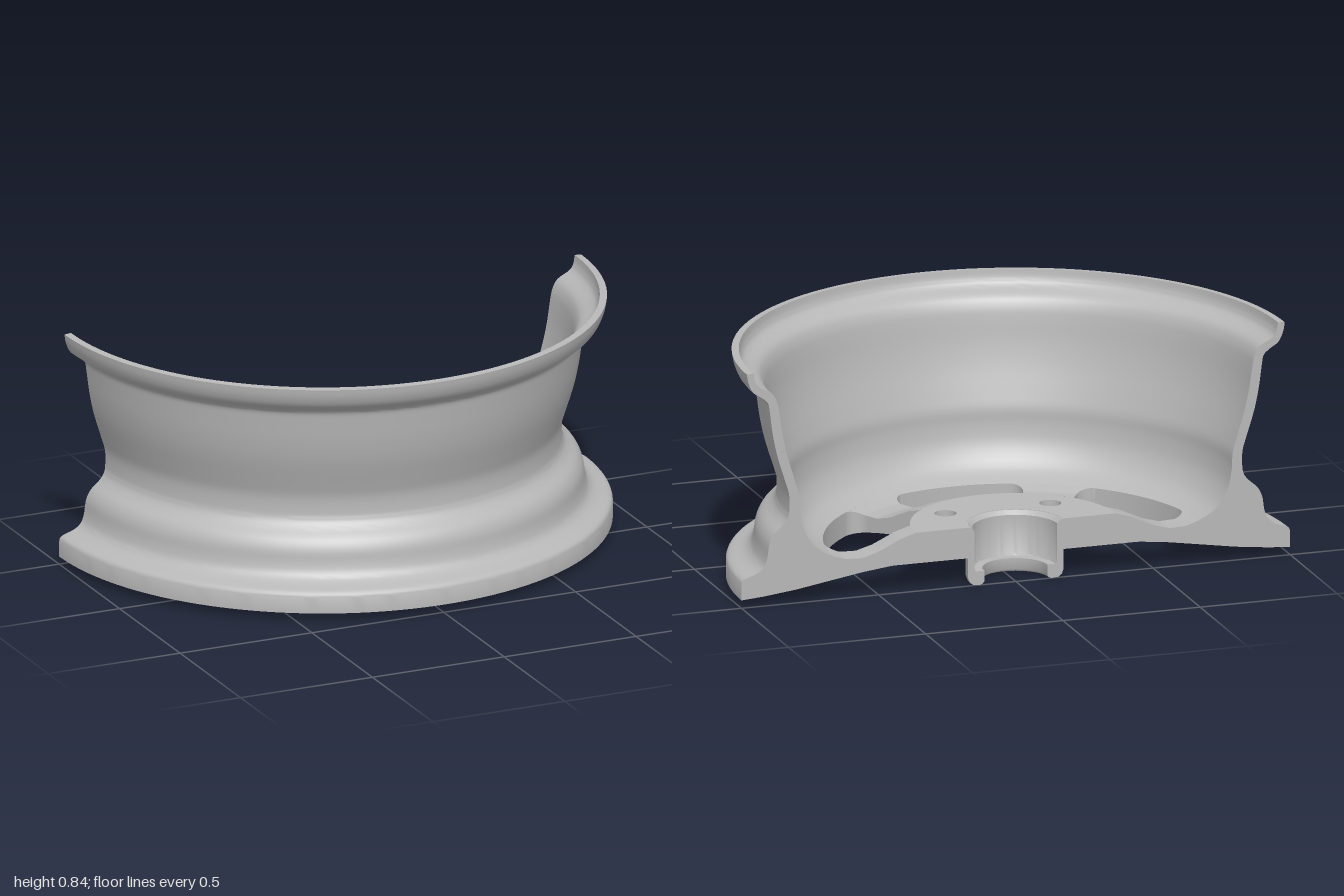
import * as THREE from 'three';
import { toCreasedNormals } from 'three/addons/utils/BufferGeometryUtils.js';

const PAD_R = 0.365, WINDOW_R = 0.665, SPOKE_HALF = 0.092, CORNER = 0.06;
const V = (p) => new THREE.Vector2(p[0], p[1]);
const spline = (pts, n) => new THREE.SplineCurve(pts.map(V)).getPoints(n);

// height of the spoke faces at radius r
const spokeTop = [[0.365, 0.21], [0.42, 0.193], [0.5, 0.155], [0.56, 0.138], [0.62, 0.14], [0.665, 0.155]];
const spokeBottom = [[0.365, 0.1], [0.45, 0.1], [0.56, 0.087], [0.665, 0.07]];
function heightAt(table, r) {
  for (let i = 1; i < table.length; i++) {
    const [r0, y0] = table[i - 1], [r1, y1] = table[i];
    if (r <= r1 + 1e-6) return y0 + (y1 - y0) * (r - r0) / (r1 - r0);
  }
  return table[table.length - 1][1];
}

export function createModel() {
  const group = new THREE.Group();
  const metal = new THREE.MeshStandardMaterial({ color: 0xb8b8b8 });
  metal.name = 'grey metal';

  const wheel = new THREE.Group();
  wheel.name = 'halfWheel';
  wheel.position.z = -0.5;
  group.add(wheel);

  function add(name, geometry, crease = 0.6) {
    const mesh = new THREE.Mesh(toCreasedNormals(geometry, crease), metal);
    mesh.name = name;
    wheel.add(mesh);
  }

  // half turn of a closed profile, with the two cut faces
  function halfTurn(name, profile, segments) {
    add(name, new THREE.LatheGeometry([...profile, profile[0]], segments, -Math.PI / 2, Math.PI));
    for (const side of [1, -1]) {
      const shape = new THREE.Shape(profile.map((p) => new THREE.Vector2(side * p.x, p.y)));
      add(name + 'CutFace', new THREE.ShapeGeometry(shape).rotateY(Math.PI));
    }
  }

  // rim: dished underside, outer barrel, top lip, inner barrel
  const outer = spline([
    [1, 0.085], [0.99, 0.102], [0.945, 0.118], [0.917, 0.14], [0.905, 0.175], [0.898, 0.22],
    [0.88, 0.255], [0.847, 0.285], [0.83, 0.31], [0.825, 0.34], [0.826, 0.39], [0.84, 0.44],
    [0.868, 0.53], [0.885, 0.61], [0.896, 0.69], [0.903, 0.727], [0.925, 0.748], [0.957, 0.77],
    [0.974, 0.805], [0.98, 0.838]], 64);
  const inner = spline([
    [0.955, 0.84], [0.95, 0.81], [0.935, 0.787], [0.89, 0.762], [0.871, 0.73], [0.862, 0.69],
    [0.85, 0.61], [0.832, 0.53], [0.805, 0.44], [0.79, 0.385], [0.787, 0.33], [0.772, 0.26],
    [0.73, 0.193], [0.665, 0.155]], 48);
  const underside = [[0.665, 0.07], [0.8, 0.048], [0.92, 0.034], [1, 0.028]].map(V);
  halfTurn('rim', [...underside, ...outer, ...inner], 80);

  // hub: bored collar with an inward lip below the pad
  halfTurn('hub', [
    [0.115, 0.012], [0.12, 0.004], [0.13, 0], [0.155, 0.002], [0.168, 0.012], [0.174, 0.03],
    [0.174, 0.209], [0.165, 0.209], [0.15, 0.195], [0.15, 0.06], [0.145, 0.05], [0.115, 0.05]].map(V), 48);

  // mounting pad with bolt holes
  const pad = new THREE.Shape();
  pad.absarc(0, 0, PAD_R, 0, Math.PI, false);
  pad.absarc(0, 0, 0.17, Math.PI, 0, true);
  for (const a of [Math.PI / 4, 3 * Math.PI / 4]) {
    const hole = new THREE.Path();
    hole.absarc(0.27 * Math.cos(a), 0.27 * Math.sin(a), 0.038, 0, Math.PI * 2, true);
    pad.holes.push(hole);
  }
  add('mountingPad', new THREE.ExtrudeGeometry(pad, { depth: 0.11, bevelEnabled: false, curveSegments: 40 })
    .rotateX(Math.PI / 2).translate(0, 0.21, 0));

  // spokes: even width, flaring into rounded window corners at the rim
  function halfAngle(r) {
    const t = Math.max(0, CORNER - (WINDOW_R - r));
    return Math.asin((SPOKE_HALF + CORNER - Math.sqrt(Math.max(0, CORNER * CORNER - t * t))) / r);
  }
  function spoke(name, centre, low, high) {
    const rows = 36, steps = 6, positions = [];
    const ring = (i) => {
      const r = PAD_R + (WINDOW_R - PAD_R) * Math.sin((i / rows) * Math.PI / 2);
      const h = halfAngle(r), loop = [];
      const point = (k, y) => {
        const a = centre + h * (low + (high - low) * k / steps);
        loop.push([r * Math.cos(a), y, r * Math.sin(a)]);
      };
      for (let k = 0; k <= steps; k++) point(k, heightAt(spokeTop, r));
      for (let k = steps; k >= 0; k--) point(k, heightAt(spokeBottom, r));
      return loop;
    };
    for (let i = 0; i < rows; i++) {
      const p = ring(i), q = ring(i + 1);
      for (let j = 0; j < p.length; j++) {
        const n = (j + 1) % p.length;
        positions.push(...p[j], ...p[n], ...q[n], ...p[j], ...q[n], ...q[j]);
      }
    }
    const geometry = new THREE.BufferGeometry();
    geometry.setAttribute('position', new THREE.Float32BufferAttribute(positions, 3));
    add(name, geometry);
  }
  spoke('leftHalfSpoke', 0, 0, 1);
  spoke('leftSpoke', Math.PI / 3, -1, 1);
  spoke('rightSpoke', 2 * Math.PI / 3, -1, 1);
  spoke('rightHalfSpoke', Math.PI, -1, 0);

  return group;
}
